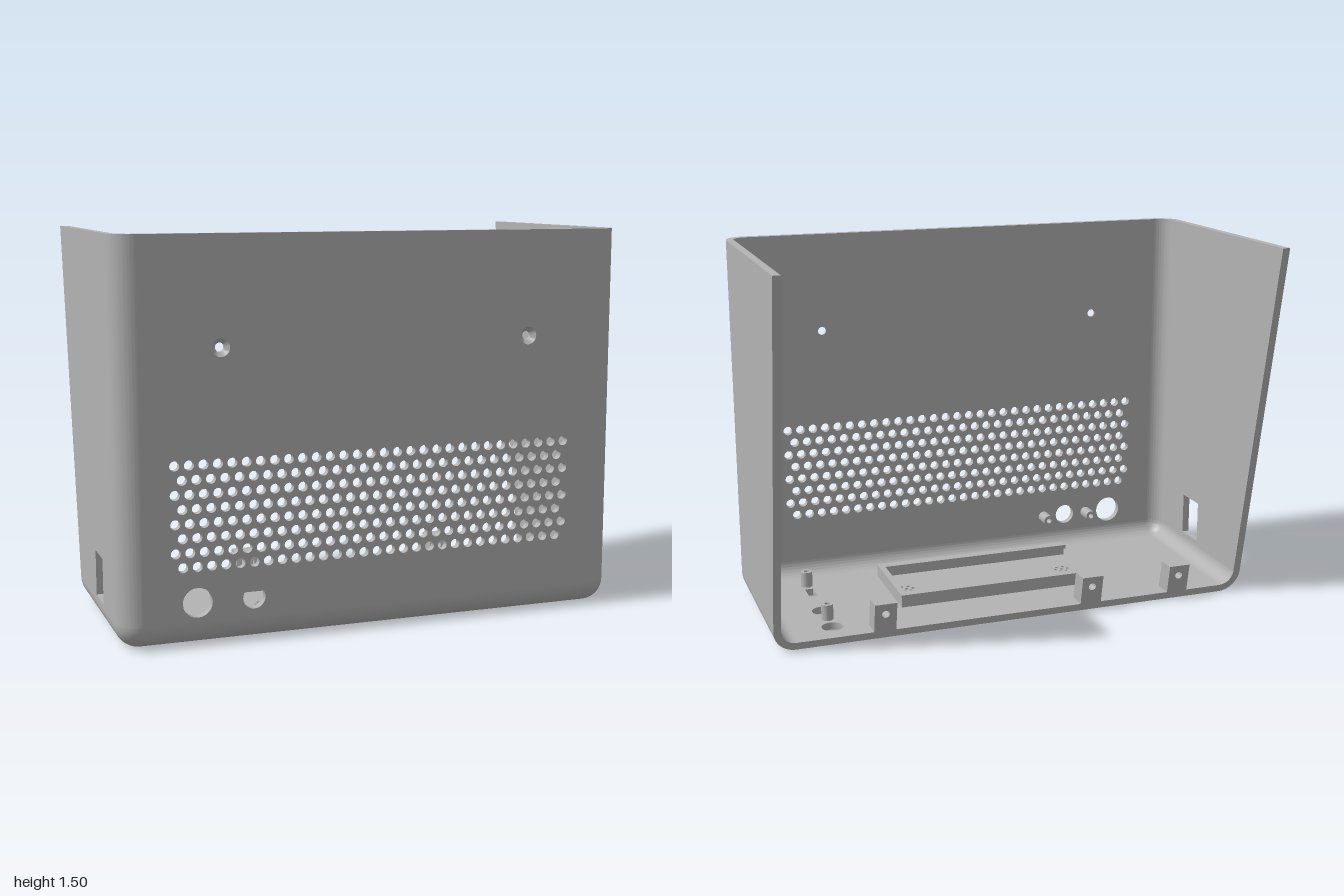
import * as THREE from 'three';
import { toCreasedNormals } from 'three/addons/utils/BufferGeometryUtils.js';

const W = 1, H = 1.5, FRONT = 0.52, BACK = -0.23; // half width, height, z limits at the floor
const T = 0.03, R = 0.09;                         // wall thickness, outer edge radius
const SLOPE = 0.29 / 1.5;                         // backward lean of the open rear edge

const poly = (pts) => new THREE.Shape(pts.map(([x, y]) => new THREE.Vector2(x, y)));
const rect = (x0, y0, x1, y1) => poly([[x0, y0], [x1, y0], [x1, y1], [x0, y1]]);

function hole(shape, x, y, r) {
  const p = new THREE.Path();
  p.absarc(x, y, r, 0, Math.PI * 2, true);
  shape.holes.push(p);
}

const extrude = (shape, depth) => toCreasedNormals(
  new THREE.ExtrudeGeometry(shape, { depth, bevelEnabled: false, curveSegments: 12 }), 0.5);

// Lean vertices behind zLimit along the sloping rear plane
function lean(geo, zLimit) {
  const p = geo.attributes.position;
  for (let i = 0; i < p.count; i++) {
    if (p.getZ(i) < zLimit) p.setZ(i, p.getZ(i) - SLOPE * p.getY(i));
  }
  return toCreasedNormals(geo, 0.5);
}

// Quarter ring section of a rounded edge
function quarter(a0) {
  const s = new THREE.Shape();
  s.absarc(0, 0, R, a0, a0 + Math.PI / 2, false);
  s.absarc(0, 0, R - T, a0 + Math.PI / 2, a0, true);
  return s;
}

export function createModel() {
  const group = new THREE.Group();
  const grey = new THREE.MeshStandardMaterial({ color: 0xb3b3b3 });
  grey.name = 'casing grey';
  const add = (name, geo, x = 0, y = 0, z = 0) => {
    const m = new THREE.Mesh(geo, grey);
    m.name = name;
    m.position.set(x, y, z);
    group.add(m);
    return m;
  };
  const half = Math.PI / 2;
  const xi = W - R, zi = FRONT - R;

  // Front wall with grille, screw holes and control holes
  const front = rect(-xi, R, xi, H);
  for (let row = 0; row < 8; row++) {
    const odd = row % 2;
    for (let i = 0; i < 30 - odd; i++) {
      hole(front, -0.787 + (i + odd / 2) * 0.0537, 0.676 - row * 0.0537, 0.0185);
    }
  }
  for (const s of [-1, 1]) hole(front, s * 0.61, 1.095, 0.034);
  hole(front, -0.708, 0.166, 0.056);
  hole(front, -0.494, 0.166, 0.043);
  add('frontWall', extrude(front, T), 0, 0, FRONT - T);

  // Countersunk seats in the two upper screw holes
  const seat = [[0.034, 0], [0.017, 0], [0.017, 0.012], [0.034, T], [0.034, 0]]
    .map(([x, y]) => new THREE.Vector2(x, y)).reverse();
  for (const s of [-1, 1]) {
    const g = new THREE.LatheGeometry(seat, 24).rotateX(half);
    const m = add('screwSeat', toCreasedNormals(g, 0.5), s * 0.61, 1.095, FRONT - T);
    m.material = grey.clone();
    m.material = grey;
  }

  // Floor (shape y is -z)
  const floor = rect(-xi, -zi, xi, -BACK);
  hole(floor, 0.743, 0.126, 0.043);
  hole(floor, 0.743, -0.05, 0.043);
  for (const z of [-0.04, 0.345]) hole(floor, 0.743, -z, 0.011);
  floor.holes.push(rect(0.726, -0.302, 0.76, -0.218));
  for (const x of [-0.353, 0.353]) {
    hole(floor, x, -0.168, 0.008);
    for (let i = 0; i < 6; i++) {
      const a = i * Math.PI / 3;
      hole(floor, x + Math.cos(a) * 0.028, -0.168 + Math.sin(a) * 0.028, 0.008);
    }
  }
  add('floor', lean(extrude(floor, T).rotateX(-half), BACK + 0.001));

  // Side walls, with a socket window in the right one
  for (const s of [-1, 1]) {
    const side = poly([[zi, R], [zi, H], [BACK - SLOPE * H, H], [BACK - SLOPE * R, R]]);
    if (s < 0) side.holes.push(rect(0.095, 0.11, 0.235, 0.285));
    add(s > 0 ? 'leftWall' : 'rightWall', extrude(side, T).rotateY(-half), s > 0 ? W : T - W);
  }

  // Rounded edges and corners
  add('bottomFrontEdge', extrude(quarter(-half), 2 * xi).rotateY(-half), xi, R, zi);
  const arc = [];
  for (let i = 0; i <= 12; i++) arc.push(-half + half * i / 12);
  const section = [
    ...arc.map((a) => new THREE.Vector2(Math.cos(a) * R, Math.sin(a) * R)),
    ...arc.reverse().map((a) => new THREE.Vector2(Math.cos(a) * (R - T), Math.sin(a) * (R - T))),
  ];
  for (const s of [-1, 1]) {
    const upright = extrude(quarter(-half), H - R).rotateX(-half);
    if (s < 0) upright.rotateY(-half);
    add('uprightEdge', upright, s * xi, R, zi);

    const low = extrude(quarter(s > 0 ? -half : -Math.PI), zi - BACK);
    add('bottomSideEdge', lean(low.translate(s * xi, R, BACK), BACK + 0.001));

    const corner = new THREE.LatheGeometry(section, 12, s > 0 ? 0 : -half, half);
    add('bottomCorner', toCreasedNormals(corner, 0.5), s * xi, R, zi);
  }

  // Leaning screw brackets at the rear, recessed on the inside
  for (const x of [-0.71, -0.318, 0.557]) {
    for (const [z, depth, r] of [[BACK, 0.056, 0.016], [BACK + 0.056, 0.022, 0.031]]) {
      const s = rect(-0.045, T, 0.045, 0.15);
      hole(s, 0, 0.105, r);
      add('rearBracket', lean(extrude(s, depth).translate(0, 0, z), 1), x);
    }
  }

  // Tray rails with inward lips, and the end stop
  const rail = poly([[0, 0], [0.022, 0], [0.022, 0.035], [0.044, 0.035], [0.044, 0.052], [0, 0.052]]);
  const mirrored = poly([[0, 0], [0, 0.052], [-0.044, 0.052], [-0.044, 0.035], [-0.022, 0.035], [-0.022, 0]]);
  add('rearRail', extrude(rail, 0.835).rotateY(-half), 0.405, T, -0.027);
  add('frontRail', extrude(mirrored, 0.835).rotateY(-half), 0.405, T, 0.36);
  add('railStop', new THREE.BoxGeometry(0.025, 0.052, 0.387), 0.4175, T + 0.026, 0.1665);

  // Hollow screw posts on the floor and behind the front wall
  const post = (r, bore, len) => {
    const s = new THREE.Shape();
    s.absarc(0, 0, r, 0, Math.PI * 2, false);
    hole(s, 0, 0, bore);
    return extrude(s, len);
  };
  for (const z of [-0.04, 0.345]) add('floorPost', post(0.024, 0.011, 0.065).rotateX(-half), 0.743, T, z);
  for (const x of [-0.597, -0.391]) add('frontPost', post(0.0235, 0.011, 0.072), x, 0.166, 0.42);

  return group;
}
